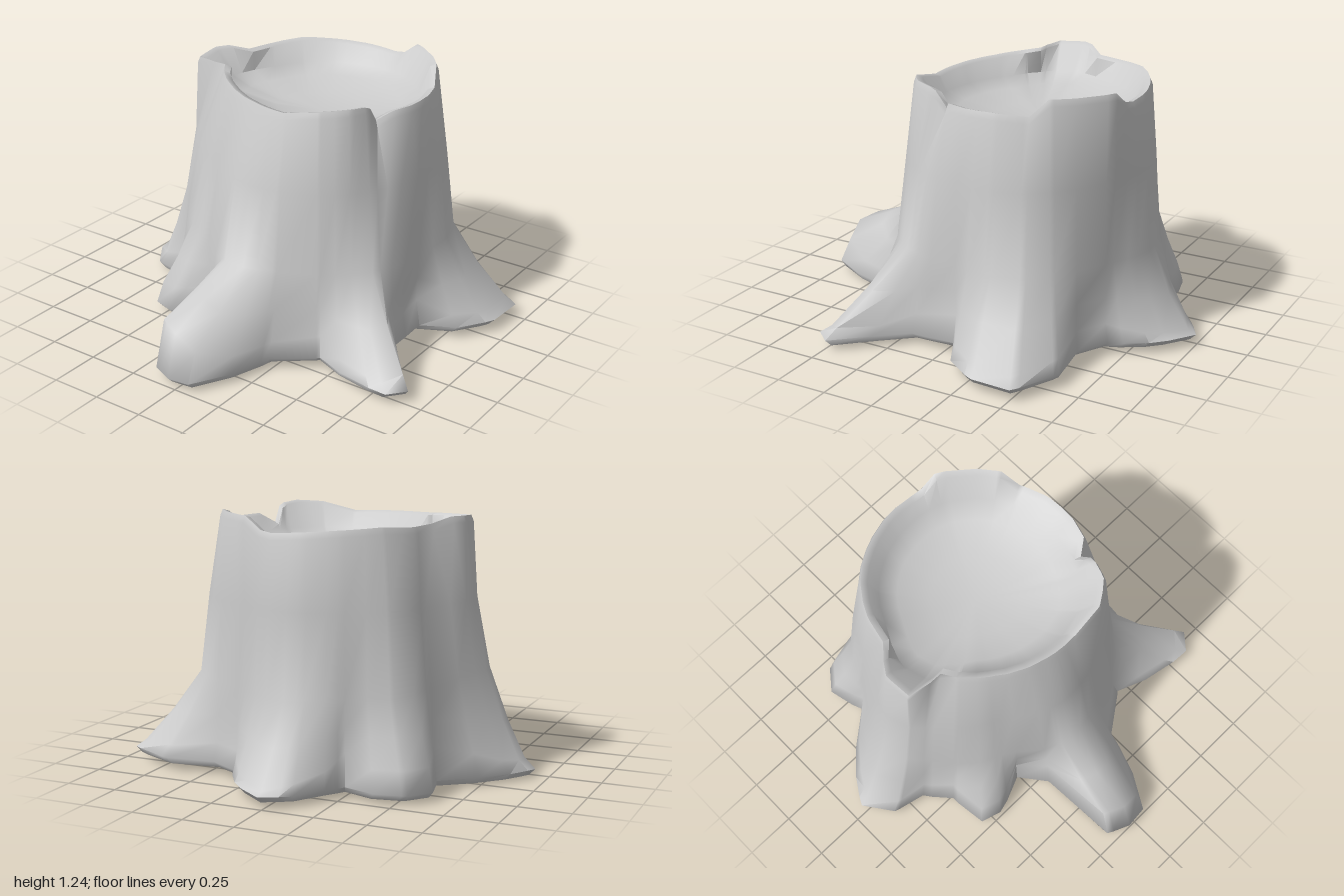
import * as THREE from 'three';
import { toCreasedNormals } from 'three/addons/utils/BufferGeometryUtils.js';

const CZ = -0.15; // trunk axis in z

// Ground outline: x, z, height of the root's shoulder
const GROUND = [
  [0.02, -1, 0.07], [0.22, -0.84, 0.1], [0.31, -0.68, 0.15], [0.46, -0.6, 0.15], [0.7, -0.63, 0.12],
  [0.94, -0.51, 0.1], [0.93, -0.31, 0.1], [0.82, -0.14, 0.12], [0.64, -0.05, 0.2], [0.66, 0.17, 0.15],
  [0.78, 0.32, 0.1], [0.92, 0.48, 0.11], [0.85, 0.56, 0.08], [0.58, 0.52, 0.1], [0.43, 0.46, 0.15],
  [0.24, 0.6, 0.12], [0.17, 0.82, 0.12], [0.07, 0.99, 0.18], [-0.04, 1, 0.25], [-0.15, 0.95, 0.27],
  [-0.17, 0.55, 0.25], [-0.27, 0.42, 0.2], [-0.46, 0.49, 0.15], [-0.56, 0.46, 0.15], [-0.58, 0.27, 0.2],
  [-0.68, 0.15, 0.15], [-0.84, 0.11, 0.1], [-0.94, -0.03, 0.08], [-0.86, -0.16, 0.1], [-0.75, -0.28, 0.15],
  [-0.59, -0.41, 0.2], [-0.64, -0.59, 0.15], [-0.56, -0.69, 0.15], [-0.41, -0.73, 0.15], [-0.26, -0.69, 0.2],
  [-0.2, -0.78, 0.13], [-0.11, -0.92, 0.1],
];

// Trunk outline just above the roots: x, z, height
const TRUNK = [
  [0.66, -0.1, 0.45], [0.63, 0.12, 0.45], [0.5, 0.33, 0.45], [0.25, 0.47, 0.45], [0, 0.54, 0.44],
  [-0.17, 0.48, 0.44], [-0.3, 0.37, 0.45], [-0.46, 0.3, 0.46], [-0.58, 0.16, 0.48], [-0.73, -0.02, 0.5],
  [-0.66, -0.2, 0.5], [-0.55, -0.4, 0.47], [-0.48, -0.57, 0.45], [-0.28, -0.66, 0.45], [0, -0.75, 0.43],
  [0.25, -0.67, 0.44], [0.45, -0.57, 0.45], [0.61, -0.44, 0.45], [0.67, -0.28, 0.45],
];

// Broken rim: x, z, height
const RIM = [
  [0.56, -0.07, 1.17], [0.53, 0.03, 1.17], [0.46, 0.08, 1.12], [0.47, 0.14, 1.21], [0.43, 0.25, 1.22],
  [0.32, 0.33, 1.21], [0.14, 0.34, 1.17], [-0.05, 0.32, 1.18], [-0.24, 0.23, 1.19], [-0.36, 0.13, 1.2],
  [-0.41, 0.06, 1.21], [-0.58, 0.04, 1.21], [-0.59, -0.1, 1.22], [-0.55, -0.16, 1.22], [-0.48, -0.24, 1.19],
  [-0.45, -0.38, 1.19], [-0.36, -0.52, 1.2], [-0.2, -0.63, 1.19], [-0.04, -0.68, 1.18], [0.1, -0.68, 1.17],
  [0.16, -0.67, 1.18], [0.24, -0.66, 1.24], [0.4, -0.54, 1.24], [0.47, -0.45, 1.24], [0.51, -0.37, 1.16],
  [0.56, -0.22, 1.17],
];

const toPolar = (list) => list
  .map(([x, z, h]) => ({ a: Math.atan2(z - CZ, x), r: Math.hypot(x, z - CZ), h }))
  .sort((p, q) => p.a - q.a);

// Radius and height of a closed outline at any angle
function sample(list, angle) {
  const n = list.length, turn = Math.PI * 2;
  const a = Math.atan2(Math.sin(angle), Math.cos(angle));
  let i = list.findIndex((p) => p.a > a);
  if (i < 0) i = n;
  const p = list[(i + n - 1) % n], q = list[i % n];
  const t = ((a - p.a + turn) % turn) / ((q.a - p.a + turn) % turn);
  return { r: p.r + (q.r - p.r) * t, h: p.h + (q.h - p.h) * t };
}

// Skin the vertical profiles [radius, y] standing at each angle
function loft(angles, profiles, crease) {
  const pos = [], index = [];
  const n = angles.length, m = profiles[0].length;
  angles.forEach((a, i) => profiles[i].forEach(([r, y], k) => {
    pos.push(r * Math.cos(a), y, CZ + r * Math.sin(a));
    if (k === m - 1) return;
    const p = i * m + k, q = ((i + 1) % n) * m + k;
    if (profiles[i][k][0] > 0) index.push(p, p + 1, q);
    if (profiles[i][k + 1][0] > 0) index.push(p + 1, q + 1, q);
  }));
  const g = new THREE.BufferGeometry();
  g.setAttribute('position', new THREE.Float32BufferAttribute(pos, 3));
  g.setIndex(index);
  return toCreasedNormals(g, crease);
}

export function createModel() {
  const ground = toPolar(GROUND), trunk = toPolar(TRUNK), rim = toPolar(RIM);
  const angles = [...ground, ...rim].map((p) => p.a).sort((a, b) => a - b)
    .filter((a, i, all) => i === 0 || a - all[i - 1] > 0.015);

  const bark = [], cut = [], underside = [];
  for (const a of angles) {
    const b = sample(ground, a), t = sample(rim, a), w = sample(trunk, a);
    const shoulder = b.r - 0.02 - Math.max(0, b.r - 0.62) * 0.08;
    const waist = Math.min(b.r - 0.02, w.r);
    // the splits in the rim fade out on the way down
    const soft = [-0.25, 0, 0.25].reduce((sum, d) => sum + sample(rim, a + d).r / 3, 0);
    const upper = Math.max(w.r * 0.6 + soft * 0.4, t.r + 0.01);
    const baseY = 0.035 + 0.012 * Math.cos(a + 0.4);

    // roots flaring out of the trunk
    bark.push([
      [b.r - 0.03, baseY - 0.015], [b.r, baseY + 0.015], [shoulder, b.h],
      [(shoulder + waist) / 2, b.h + (w.h - b.h) * 0.45],
      [waist, w.h], [upper, 0.83], [t.r + 0.012, t.h - 0.03], [t.r, t.h],
    ]);
    // thin rim and hollowed cut face
    cut.push([
      [t.r, t.h], [t.r - 0.03, t.h - 0.01], [soft * 0.86, 1.09],
      [soft * 0.7, 1.05], [soft * 0.4, 1.01], [0, 1],
    ]);
    underside.push([[0, 0], [b.r * 0.8, 0.015], [b.r - 0.03, baseY - 0.015]]);
  }

  const material = new THREE.MeshStandardMaterial({ color: 0xcccccc, side: THREE.DoubleSide });
  const group = new THREE.Group();
  group.name = 'treeStump';
  const add = (name, profiles, crease) => {
    const mesh = new THREE.Mesh(loft(angles, profiles, crease), material);
    mesh.name = name;
    group.add(mesh);
  };
  add('barkAndRoots', bark, 1.3);
  add('hollowTop', cut, 1.0);
  add('underside', underside, 0.9);
  return group;
}
